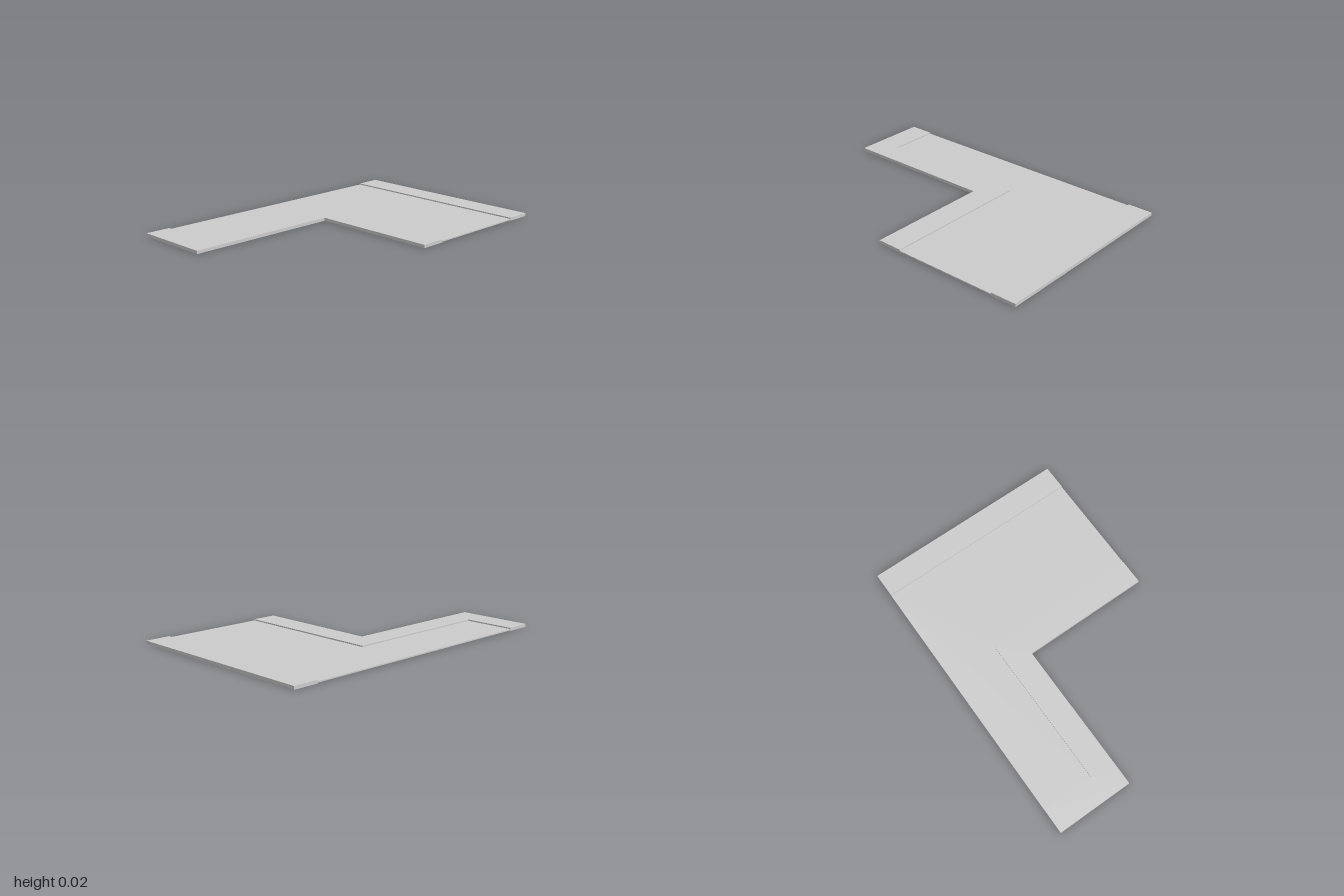
import * as THREE from 'three';

const material = new THREE.MeshStandardMaterial({ color: 0xcccccc, flatShading: true });

// Flat slab from a plan outline of [x, z] points, between two heights
function slab(name, outline, bottom, top) {
  const shape = new THREE.Shape(outline.map(([x, z]) => new THREE.Vector2(x, -z)));
  const geometry = new THREE.ExtrudeGeometry(shape, { depth: top - bottom, bevelEnabled: false });
  geometry.rotateX(-Math.PI / 2);
  geometry.translate(0, bottom, 0);
  const mesh = new THREE.Mesh(geometry, material);
  mesh.name = name;
  return mesh;
}

export function createModel() {
  const group = new THREE.Group();
  group.name = 'roadTile';

  const back = -0.667, front = 0.667, notch = -0.167;
  const w = 0.163; // pavement width
  const pavementTop = 0.02;

  // Straight pavement along the left side
  group.add(slab('straightPavement',
    [[1 - w, back], [1, back], [1, front], [1 - w, front]], 0, pavementTop));

  // Pavement that wraps the inner corner and closes the side branch
  group.add(slab('cornerPavement', [
    [-1, back], [-1 + w, back], [-1 + w, notch - w], [w, notch - w],
    [w, front], [0, front], [0, notch], [-1, notch],
  ], 0, pavementTop));

  // Sunken road surface between the pavements
  group.add(slab('roadSurface', [
    [-1 + w, back], [1 - w, back], [1 - w, front],
    [w, front], [w, notch - w], [-1 + w, notch - w],
  ], 0.004, 0.012));

  return group;
}
